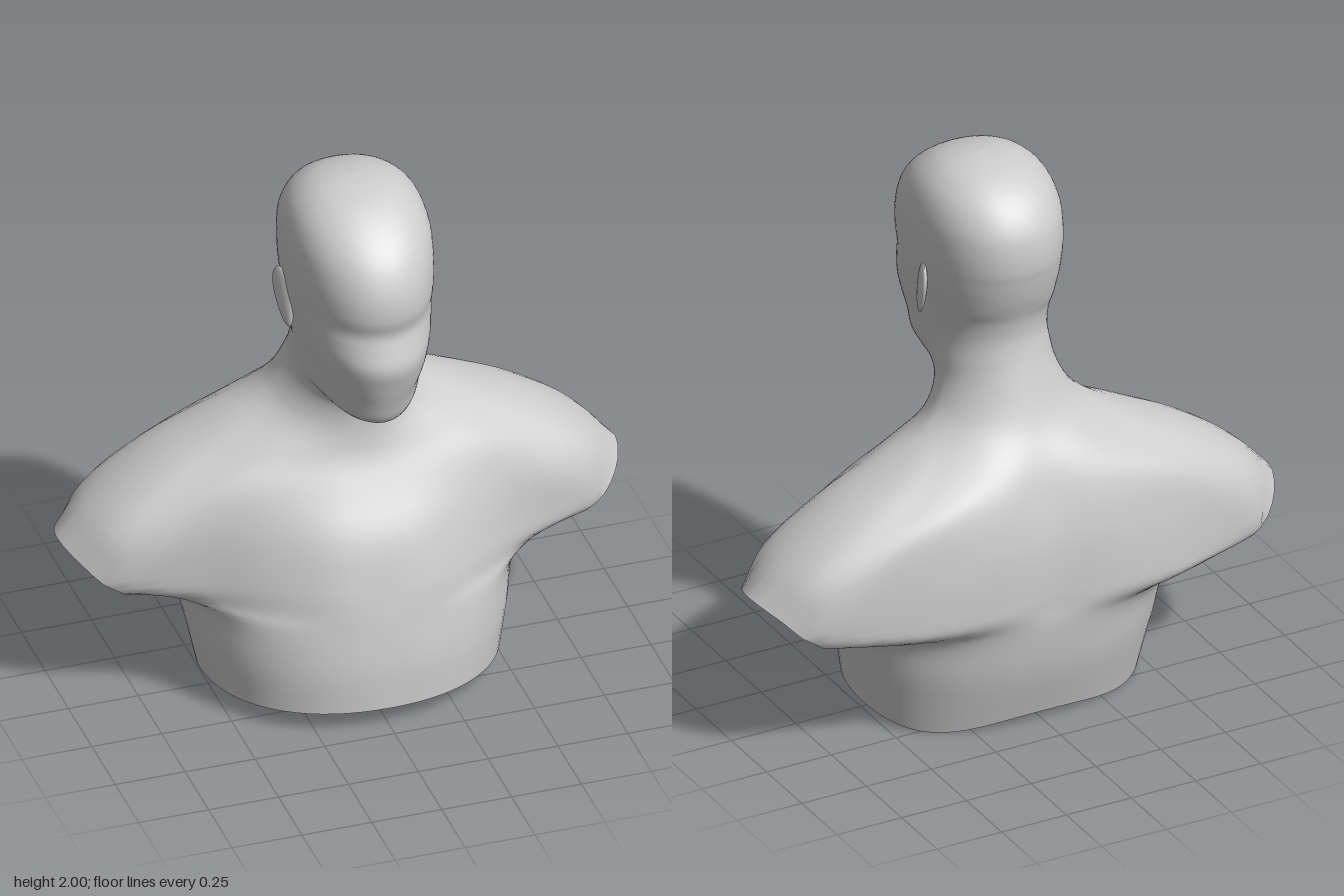
import * as THREE from 'three';

const HALF = 36, COLS = HALF * 2, STEP = 4; // columns round the body, rows per span
const FRONT = 12, BACK = 24;                // columns at the corners of the arm opening
const V = (x, y, z) => new THREE.Vector3(x, y, z);

// Oval ring from its front, side and back points: [yFront, zFront, halfWidth, ySide, zSide, yBack, zBack]
function oval([yf, zf, w, ys, zs, yb, zb], e = 1, dip = 0) {
  const ring = [];
  for (let j = 0; j < COLS; j++) {
    const t = (j / HALF) * Math.PI, s = Math.sin(t), c = Math.cos(t);
    const k = Math.abs(c) ** e;
    const y = ys + ((c > 0 ? yf : yb) - ys) * k - (c < 0 ? dip * Math.sin(2 * t) ** 2 : 0);
    ring.push(V(w * Math.sign(s) * Math.abs(s) ** e, y, zs + ((c > 0 ? zf : zb) - zs) * k));
  }
  return ring;
}

// Free ring through 13 points from front centre to back centre, mirrored to the other side
function freeRing(points) {
  const half = points.map(p => V(...p));
  const other = half.slice(1, -1).reverse().map(p => V(-p.x, p.y, p.z));
  const curve = new THREE.CatmullRomCurve3([...half, ...other], true);
  return Array.from({ length: COLS }, (_, j) => curve.getPoint(j / COLS));
}

// Lower torso, from the hem to the armpit
const hem = oval([0.075, 0.455, 0.52, 0.05, -0.02, 0.03, -0.37], 0.92, 0.036);
const waist = oval([0.23, 0.45, 0.555, 0.22, -0.05, 0.22, -0.43], 0.92);
const ribs = oval([0.39, 0.425, 0.598, 0.375, -0.1, 0.4, -0.46], 0.95);
const armpit = freeRing([
  [0, 0.45, 0.412], [0.18, 0.45, 0.395], [0.35, 0.445, 0.315], [0.51, 0.44, 0.2], [0.66, 0.435, 0.08],
  [0.65, 0.43, 0], [0.645, 0.423, -0.12], [0.65, 0.425, -0.24],
  [0.66, 0.435, -0.33], [0.53, 0.45, -0.41], [0.36, 0.46, -0.45], [0.18, 0.47, -0.466], [0, 0.47, -0.46]]);

// Chest ring, running along the lower or the upper edge of the arm opening
const chest = edge => freeRing([
  [0, 0.52, 0.395], [0.18, 0.52, 0.38], [0.37, 0.52, 0.29], [0.58, 0.51, 0.165], [0.86, 0.5, 0.085],
  ...edge,
  [0.86, 0.5, -0.34], [0.62, 0.51, -0.4], [0.4, 0.52, -0.45], [0.2, 0.53, -0.468], [0, 0.53, -0.462]]);
const lowerEdge = chest([[0.76, 0.44, 0.04], [0.715, 0.412, -0.13], [0.76, 0.435, -0.28]]);
const upperEdge = chest([[0.95, 0.57, 0.02], [1.0, 0.613, -0.13], [0.95, 0.575, -0.27]]);

// Shoulder slope
const deltoid = freeRing([
  [0, 0.68, 0.345], [0.17, 0.69, 0.325], [0.35, 0.7, 0.25], [0.54, 0.7, 0.165], [0.79, 0.66, 0.1],
  [0.86, 0.71, 0.03], [0.885, 0.735, -0.13], [0.86, 0.715, -0.28],
  [0.79, 0.67, -0.355], [0.58, 0.69, -0.4], [0.38, 0.7, -0.44], [0.19, 0.71, -0.46], [0, 0.71, -0.452]]);
const shoulder = freeRing([
  [0, 0.82, 0.255], [0.15, 0.83, 0.242], [0.31, 0.84, 0.2], [0.47, 0.84, 0.145], [0.62, 0.82, 0.08],
  [0.67, 0.86, 0], [0.68, 0.882, -0.13], [0.66, 0.865, -0.26],
  [0.61, 0.83, -0.34], [0.48, 0.84, -0.39], [0.32, 0.86, -0.415], [0.16, 0.87, -0.425], [0, 0.87, -0.412]]);
const collar = freeRing([
  [0, 0.93, 0.19], [0.11, 0.94, 0.182], [0.22, 0.945, 0.155], [0.33, 0.95, 0.11], [0.42, 0.96, 0.04],
  [0.45, 0.985, -0.03], [0.455, 0.993, -0.12], [0.44, 0.985, -0.22],
  [0.4, 0.96, -0.29], [0.3, 0.965, -0.34], [0.2, 0.975, -0.367], [0.1, 0.98, -0.375], [0, 0.98, -0.37]]);

// Neck and jaw, tilted so that the chin overhangs
const neckAndJaw = [
  [1.03, 0.17, 0.275, 1.1, -0.08, 1.1, -0.3],
  [1.12, 0.175, 0.208, 1.21, -0.04, 1.25, -0.24],
  [1.165, 0.205, 0.2, 1.27, 0, 1.34, -0.214],
  [1.17, 0.3, 0.2, 1.31, 0.03, 1.39, -0.206],
  [1.19, 0.39, 0.206, 1.36, 0.05, 1.43, -0.208],
  [1.27, 0.425, 0.215, 1.42, 0.05, 1.47, -0.215],
].map(r => oval(r));

// Face and skull
const skull = [
  [1.36, 0.455, 0.222, 1.47, 0.06, 1.51, -0.228],
  [1.44, 0.475, 0.23, 1.52, 0.06, 1.55, -0.242],
  [1.51, 0.456, 0.238, 1.56, 0.06, 1.6, -0.255],
  [1.565, 0.441, 0.243, 1.61, 0.06, 1.64, -0.263],
  [1.63, 0.455, 0.247, 1.66, 0.06, 1.68, -0.27],
  [1.72, 0.447, 0.25, 1.74, 0.06, 1.75, -0.268],
  [1.82, 0.4, 0.244, 1.83, 0.06, 1.82, -0.25],
  [1.9, 0.32, 0.214, 1.91, 0.06, 1.9, -0.195],
  [1.96, 0.225, 0.155, 1.966, 0.06, 1.96, -0.11],
  [1.99, 0.135, 0.08, 1.992, 0.06, 1.99, -0.02],
  [2, 0.06, 0, 2, 0.06, 2, 0.06],
].map(r => oval(r, 0.92));

// One continuous skin lofted through all rings, slit open at the arms
function skinGeometry() {
  const low = [hem, waist, ribs, armpit, lowerEdge];
  const high = [upperEdge, deltoid, shoulder, collar, ...neckAndJaw, ...skull];
  const lowRows = (low.length - 1) * STEP, highRows = (high.length - 1) * STEP;
  const rows = lowRows + highRows + 2;
  const isSide = j => { const k = Math.min(j, COLS - j); return k > FRONT && k < BACK; };
  const position = new Float32Array(rows * COLS * 3);
  for (let j = 0; j < COLS; j++) {
    const spline = rings => new THREE.CatmullRomCurve3(rings.map(r => r[j]));
    const whole = spline([...low, ...high.slice(1)]), lower = spline(low), upper = spline(high);
    for (let r = 0; r < rows; r++) {
      const isLow = r <= lowRows, k = isLow ? r : r - lowRows - 1;
      let p;
      if (!isSide(j)) p = whole.getPoint((isLow ? k : k + lowRows) / (lowRows + highRows));
      else p = isLow ? lower.getPoint(k / lowRows) : upper.getPoint(k / highRows);
      p.toArray(position, (r * COLS + j) * 3);
    }
  }
  // Away from the arms the two chest rows are welded
  const id = (r, j) => (r === lowRows + 1 && !isSide(j % COLS) ? lowRows : r) * COLS + (j % COLS);
  const index = [];
  for (let r = 0; r < rows - 1; r++) {
    if (r === lowRows) continue;
    for (let j = 0; j < COLS; j++) {
      const a = id(r, j), b = id(r, j + 1), c = id(r + 1, j + 1), d = id(r + 1, j);
      index.push(a, b, c);
      if (r < rows - 2) index.push(a, c, d);
    }
  }
  const geometry = new THREE.BufferGeometry();
  geometry.setAttribute('position', new THREE.BufferAttribute(position, 3));
  geometry.setIndex(index);
  geometry.computeVertexNormals();
  return geometry;
}

// Ear: a flattened ball, narrow at the lobe and flaring outwards at the back
function earGeometry() {
  const geometry = new THREE.SphereGeometry(1, 24, 18);
  const p = geometry.attributes.position;
  for (let i = 0; i < p.count; i++) {
    const y = p.getY(i), z = p.getZ(i) * (0.75 + 0.25 * y) * 0.056;
    p.setXYZ(i, p.getX(i) * 0.018 - z * 0.35 + y * 0.008, y * 0.11, z);
  }
  geometry.rotateX(-0.28);
  geometry.computeVertexNormals();
  return geometry;
}

export function createModel() {
  const group = new THREE.Group();
  group.name = 'bust';
  const material = new THREE.MeshStandardMaterial({ color: 0xcccccc, side: THREE.DoubleSide });

  const body = new THREE.Mesh(skinGeometry(), material);
  body.name = 'headAndTorso';
  group.add(body);

  const earShape = earGeometry();
  for (const side of [1, -1]) {
    const ear = new THREE.Mesh(earShape, material);
    ear.name = side > 0 ? 'leftEar' : 'rightEar';
    ear.position.set(side * 0.242, 1.535, 0.04);
    ear.scale.x = side;
    group.add(ear);
  }
  return group;
}
